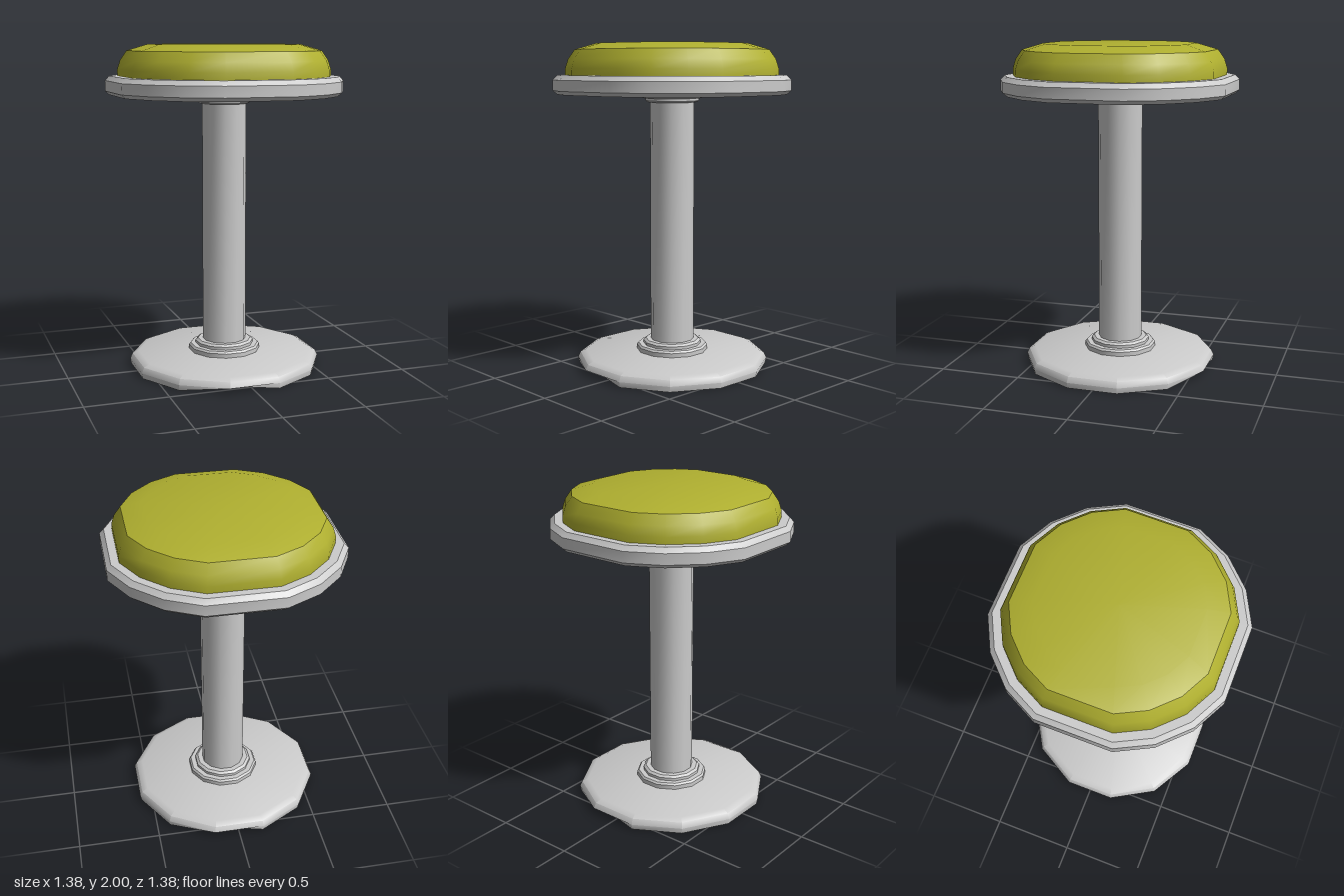
import * as THREE from 'three';
import { toCreasedNormals } from 'three/addons/utils/BufferGeometryUtils.js';

const metal = new THREE.MeshStandardMaterial({ color: 0xcccccc });
const fabric = new THREE.MeshStandardMaterial({ color: 0xb0b030 });

// Outlines as corner angles in degrees
const twelve = Array.from({ length: 12 }, (_, i) => 15 + 30 * i);
const squarish = [0, 90, 180, 270].flatMap(q => [18, 36, 54, 72].map(a => q + a));

// Loft a bottom-to-top profile of [half width, y] around an outline.
// tweak(ring, angle) may return [radius factor, lift] for a corner.
function loft(angles, profile, crease, tweak = () => [1, 0]) {
  const n = angles.length, pos = [], idx = [];
  const scale = 1 / Math.cos(THREE.MathUtils.degToRad(angles[0]));
  profile.forEach(([w, y], ring) => angles.forEach(deg => {
    const [k, lift] = tweak(ring, deg);
    const a = THREE.MathUtils.degToRad(deg), r = w * scale * k;
    pos.push(r * Math.cos(a), y + lift, r * Math.sin(a));
  }));
  for (let i = 0; i < profile.length - 1; i++) {
    for (let j = 0; j < n; j++) {
      const a = i * n + j, b = i * n + (j + 1) % n;
      if (profile[i][0] > 0) idx.push(a, a + n, b);
      if (profile[i + 1][0] > 0) idx.push(b, a + n, b + n);
    }
  }
  const g = new THREE.BufferGeometry();
  g.setAttribute('position', new THREE.Float32BufferAttribute(pos, 3));
  g.setIndex(idx);
  return toCreasedNormals(g, crease);
}

export function createModel() {
  const model = new THREE.Group();
  model.name = 'stool';
  const add = (name, geometry, material) => {
    const mesh = new THREE.Mesh(geometry, material);
    mesh.name = name;
    model.add(mesh);
  };

  // Foot plate, its lower rim dented at two opposite corners
  const dent = (ring, deg) => ring === 1 && (deg === 105 || deg === 285) ? [0.92, 0.03] : [1, 0];
  add('footPlate', loft(twelve, [
    [0, 0], [0.57, 0], [0.577, 0.035], [0.562, 0.068], [0.525, 0.085], [0, 0.1],
  ], 0.75, dent), metal);

  // Stepped collar at the foot of the column
  add('lowerCollar', loft(twelve, [
    [0.215, 0.08], [0.215, 0.12], [0.205, 0.132], [0.175, 0.132],
    [0.175, 0.15], [0.16, 0.162], [0.12, 0.162],
  ], 0.6), metal);

  add('column', loft(twelve, [[0.13, 0.1], [0.13, 1.7]], 0.6), metal);

  // Stepped collar under the seat
  add('upperCollar', loft(twelve, [
    [0.12, 1.645], [0.145, 1.645], [0.158, 1.655], [0.158, 1.67],
    [0.175, 1.67], [0.184, 1.68], [0.184, 1.705],
  ], 0.6), metal);

  // Bevelled tray that carries the cushion
  add('seatTray', loft(squarish, [
    [0, 1.695], [0.665, 1.695], [0.69, 1.718], [0.69, 1.782], [0.664, 1.81], [0, 1.81],
  ], 0.63), metal);

  // Cushion: rounded side and a softly domed top
  add('cushionSide', loft(squarish, [
    [0.617, 1.805], [0.617, 1.85], [0.6, 1.905], [0.562, 1.962],
  ], 1.2), fabric);
  add('cushionTop', loft(squarish, [[0.562, 1.962], [0.44, 2], [0, 2]], 1.2), fabric);

  return model;
}
